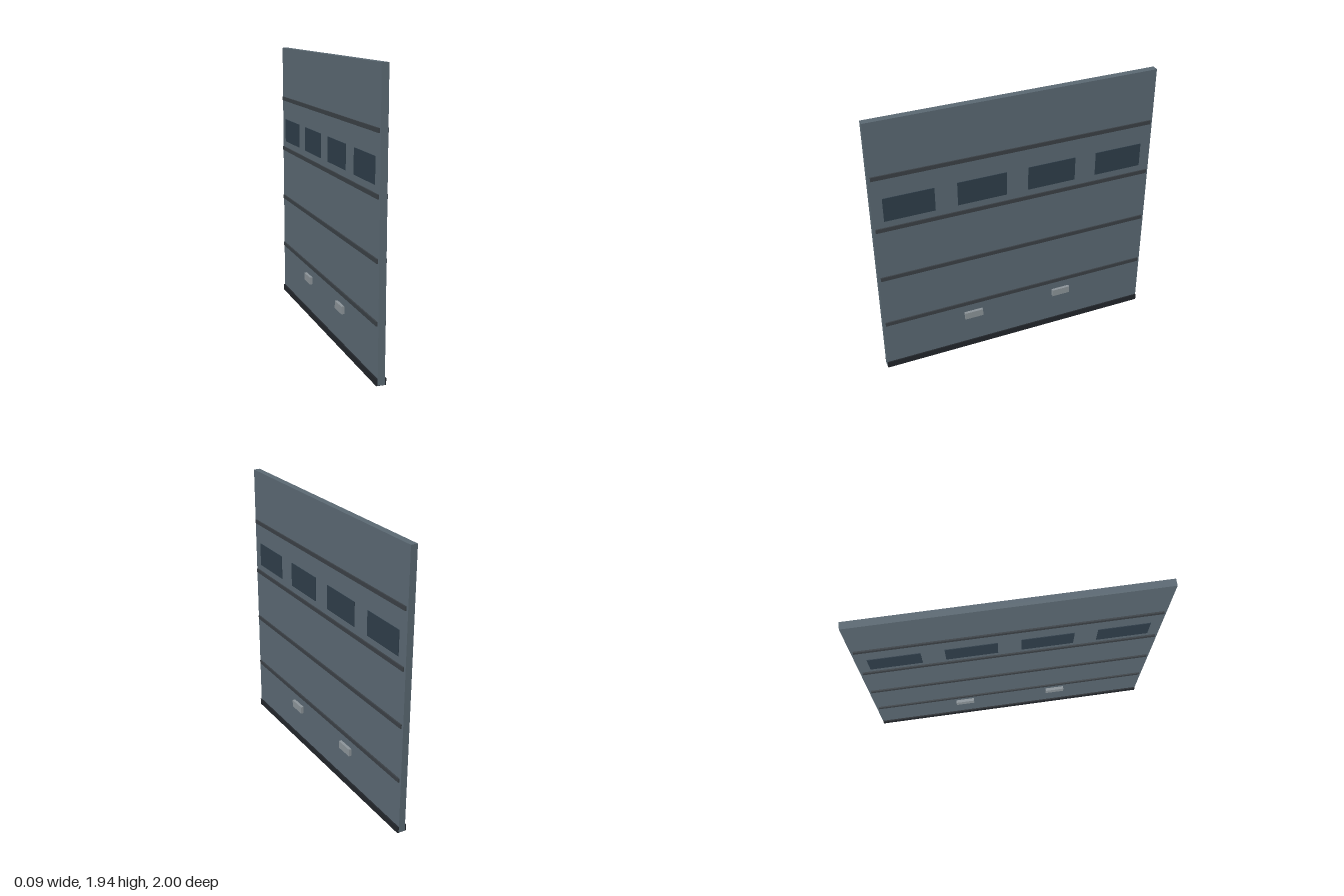
import * as THREE from 'three';

const paint = (color) => new THREE.MeshStandardMaterial({ color });

export function createModel() {
  const door = new THREE.Group();
  door.name = 'sectionalDoor';

  const mats = {
    panel: paint(0x5a6872),
    rib: paint(0x3a4045),
    seal: paint(0x22262b),
    glass: paint(0x2e3d49),
    metal: paint(0x8b9398),
  };

  // Box centred on x = 0, passing right through the door so both faces match
  function addBox(name, mat, thickness, height, width, y, z = 0) {
    const mesh = new THREE.Mesh(new THREE.BoxGeometry(thickness, height, width), mat);
    mesh.name = name;
    mesh.position.set(0, y, z);
    door.add(mesh);
  }

  // Door leaf, its bottom a hair above the seal's underside
  const height = 1.945, bottom = 0.002;
  addBox('doorPanel', mats.panel, 0.047, height - bottom, 2, (height + bottom) / 2);

  // Rubber strip along the floor
  addBox('bottomSeal', mats.seal, 0.066, 0.045, 1.998, 0.0225);

  // Joint ribs between the five sections
  for (let i = 1; i <= 4; i++) {
    addBox(`sectionRib${i}`, mats.rib, 0.066, 0.028, 1.968, (i * height) / 5 + 0.002);
  }

  // Row of four windows in the fourth section
  [-0.75, -0.25, 0.25, 0.75].forEach((z, i) => {
    addBox(`window${i + 1}`, mats.glass, 0.056, 0.171, 0.345, 1.316, z);
  });

  // Lift handles on the lowest section
  [-0.342, 0.342].forEach((z, i) => {
    addBox(`liftHandle${i + 1}`, mats.metal, 0.088, 0.053, 0.134, 0.287, z);
  });

  return door;
}
